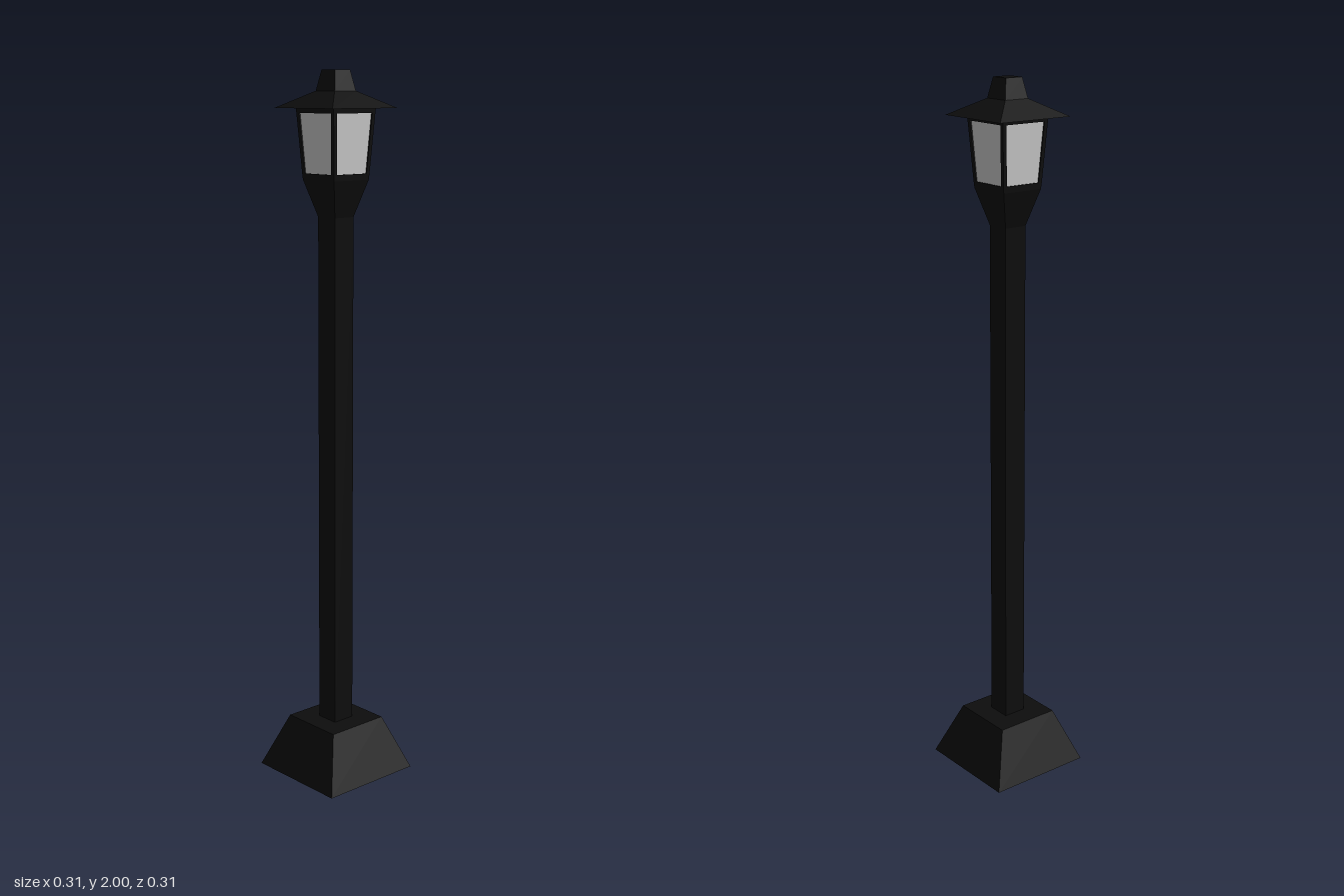
import * as THREE from 'three';

const black = new THREE.MeshStandardMaterial({ color: 0x0d0d0d, flatShading: true });
const pane = new THREE.MeshStandardMaterial({ color: 0xcccccc, flatShading: true });

// Square frustum given by half widths at its lower and upper heights
function frustum(name, y0, half0, y1, half1, material = black) {
  const geo = new THREE.CylinderGeometry(half1 * Math.SQRT2, half0 * Math.SQRT2, y1 - y0, 4);
  geo.rotateY(Math.PI / 4);
  geo.translate(0, (y0 + y1) / 2, 0);
  const mesh = new THREE.Mesh(geo, material);
  mesh.name = name;
  return mesh;
}

// Square corner bar that leans outward with the lantern walls
function cornerBar(sx, sz, y0, half0, y1, half1, width) {
  const geo = new THREE.BoxGeometry(width, y1 - y0, width);
  const p = geo.attributes.position;
  for (let i = 0; i < p.count; i++) {
    const c = (p.getY(i) > 0 ? half1 : half0) - width / 2;
    p.setXYZ(i, p.getX(i) + sx * c, p.getY(i) + (y0 + y1) / 2, p.getZ(i) + sz * c);
  }
  geo.computeVertexNormals();
  const mesh = new THREE.Mesh(geo, black);
  mesh.name = 'lanternCornerBar';
  return mesh;
}

export function createModel() {
  const model = new THREE.Group();
  model.name = 'streetLamp';

  // Foot and post
  model.add(
    frustum('base', 0, 0.156, 0.155, 0.095),
    frustum('post', 0.155, 0.034, 1.61, 0.034)
  );

  // Lantern: flared neck, glass, corner bars and top rail
  const lantern = new THREE.Group();
  lantern.name = 'lantern';
  lantern.add(
    frustum('neck', 1.61, 0.034, 1.71, 0.063),
    frustum('bottomRail', 1.71, 0.063, 1.727, 0.0645),
    frustum('glass', 1.727, 0.061, 1.887, 0.071, pane),
    frustum('topRail', 1.887, 0.075, 1.9, 0.076)
  );
  for (const sx of [-1, 1])
    for (const sz of [-1, 1])
      lantern.add(cornerBar(sx, sz, 1.727, 0.0645, 1.887, 0.075, 0.011));

  // Roof and finial
  lantern.add(
    frustum('roof', 1.9, 0.117, 1.945, 0.038),
    frustum('finial', 1.945, 0.038, 2, 0.027)
  );
  model.add(lantern);
  return model;
}
